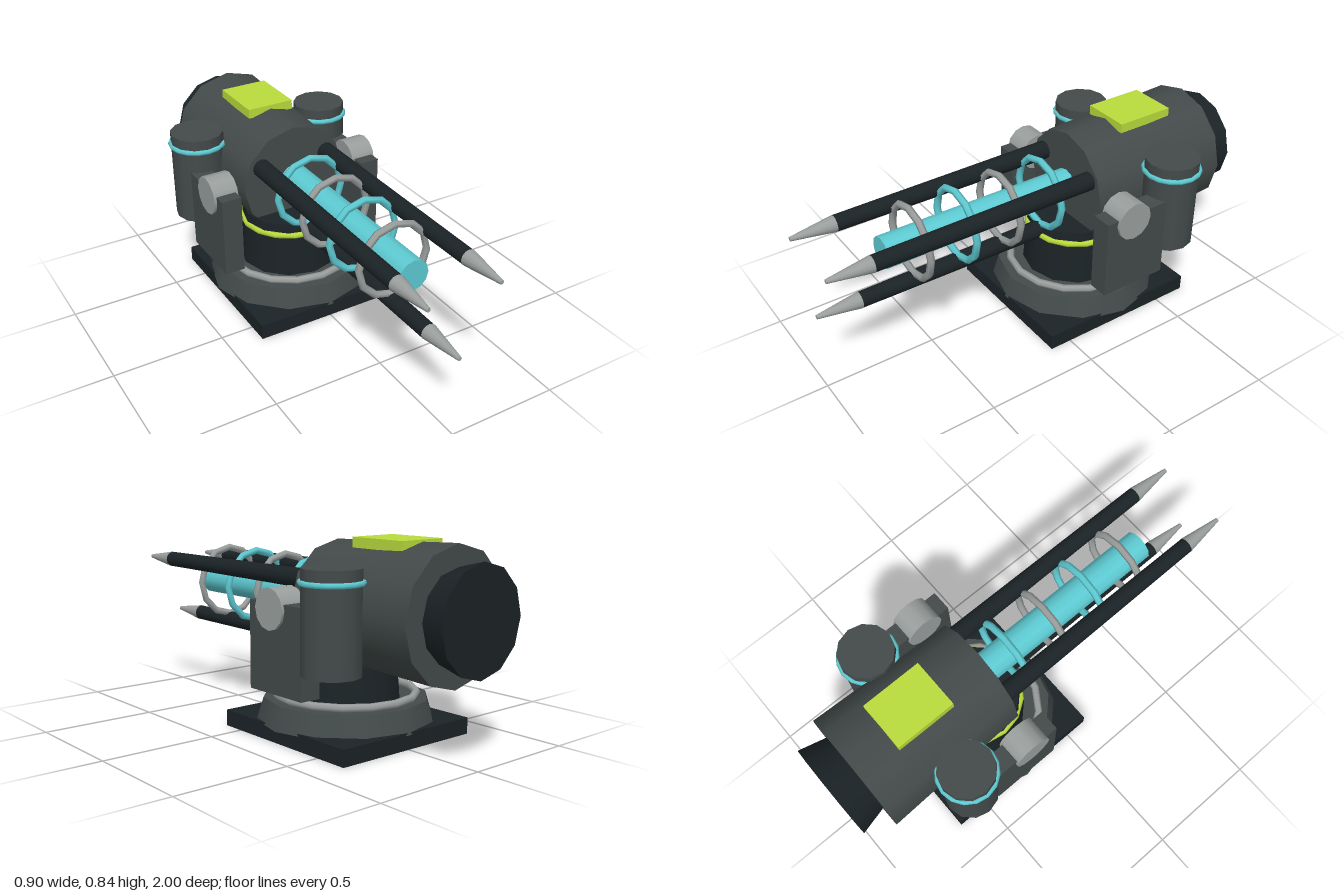
import * as THREE from 'three';

const mat = (color) => new THREE.MeshStandardMaterial({ color });

export function createModel() {
  const model = new THREE.Group();
  const dark = mat(0x1b2326), steel = mat(0x434b4a), grey = mat(0x9a9f9e);
  const cyan = mat(0x5ecbd3), lime = mat(0xb9dc3c);
  const axisY = 0.56, baseZ = -0.275;

  const add = (name, geometry, material, x, y, z) => {
    const mesh = new THREE.Mesh(geometry, material);
    mesh.name = name;
    mesh.position.set(x, y, z);
    model.add(mesh);
    return mesh;
  };
  // upright cylinder between two heights
  const upright = (name, m, rTop, rBottom, y0, y1, x, z) =>
    add(name, new THREE.CylinderGeometry(rTop, rBottom, y1 - y0, 12), m, x, (y0 + y1) / 2, z);
  // cylinder along z between two depths
  const along = (name, m, rFront, rBack, zBack, zFront, x, y) => {
    const g = new THREE.CylinderGeometry(rFront, rBack, zFront - zBack, 12).rotateX(Math.PI / 2);
    return add(name, g, m, x, y, (zBack + zFront) / 2);
  };
  const flatRing = (name, m, radius, tube, x, y, z) =>
    add(name, new THREE.TorusGeometry(radius, tube, 6, 16).rotateX(Math.PI / 2), m, x, y, z);

  // base and pedestal
  add('baseSlab', new THREE.BoxGeometry(0.7, 0.07, 0.75), dark, 0, 0.035, baseZ);
  upright('baseSkirt', steel, 0.35, 0.38, 0.06, 0.157, 0, baseZ);
  flatRing('baseRing', grey, 0.298, 0.017, 0, 0.172, baseZ);
  upright('pedestal', dark, 0.213, 0.235, 0.157, 0.41, 0, baseZ);
  flatRing('pedestalRing', lime, 0.216, 0.014, 0, 0.357, baseZ);

  // housing
  along('housing', steel, 0.25, 0.275, -0.88, -0.22, 0, axisY);
  along('rearNozzle', dark, 0.185, 0.218, -1, -0.87, 0, axisY).geometry.scale(1, 1, 1);
  add('topPanel', new THREE.BoxGeometry(0.22, 0.042, 0.27), lime, 0, 0.815, -0.565);

  // barrel with its coils
  along('barrel', cyan, 0.07, 0.07, -0.3, 0.695, 0, axisY);
  [-0.08, 0.13, 0.345, 0.56].forEach((z, i) =>
    add('coil', new THREE.TorusGeometry(0.16, 0.016, 6, 12), i % 2 ? grey : cyan, 0, axisY, z));

  // three rails around the barrel, each with a pointed tip
  for (let i = 0; i < 3; i++) {
    const a = Math.PI / 6 + (i * Math.PI * 2) / 3;
    const x = 0.188 * Math.cos(a), y = axisY + 0.188 * Math.sin(a);
    along('rail', dark, 0.035, 0.042, -0.25, 0.815, x, y);
    along('railTip', grey, 0.009, 0.036, 0.81, 1, x, y);
  }

  // side brackets, pivots and tanks
  for (const s of [1, -1]) {
    add('bracket', new THREE.BoxGeometry(0.092, 0.365, 0.32), steel, s * 0.352, 0.4025, -0.3);
    add('pivot', new THREE.CylinderGeometry(0.086, 0.086, 0.115, 12).rotateZ(Math.PI / 2),
      grey, s * 0.352, axisY, baseZ);
    upright('tank', steel, 0.12, 0.12, 0.33, 0.74, s * 0.32, -0.545);
    flatRing('tankRing', cyan, 0.12, 0.012, s * 0.32, 0.685, -0.545);
  }
  return model;
}
